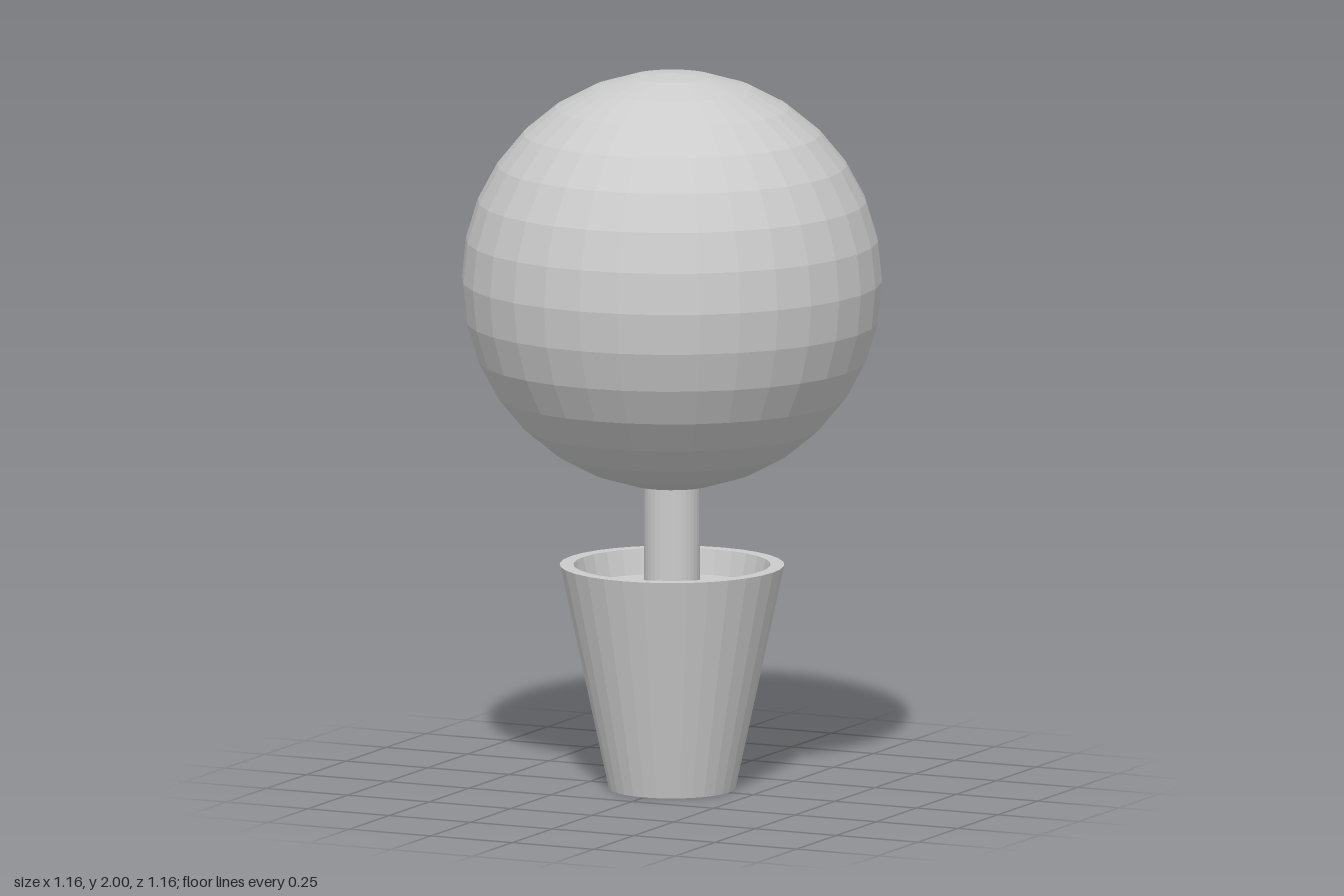
import * as THREE from 'three';

const SIDES = 32;

export function createModel() {
  const group = new THREE.Group();
  const material = new THREE.MeshStandardMaterial({ color: 0xcccccc, flatShading: true });

  const add = (name, geometry, y = 0) => {
    const mesh = new THREE.Mesh(geometry, material);
    mesh.name = name;
    mesh.position.y = y;
    group.add(mesh);
  };

  // Tapered pot: closed base, outer wall, flat rim, inner wall down to the soil
  const potProfile = [[0, 0], [0.175, 0], [0.31, 0.625], [0.272, 0.625], [0.258, 0.555]]
    .map(([r, y]) => new THREE.Vector2(r, y));
  add('pot', new THREE.LatheGeometry(potProfile, SIDES));

  // Soil disc set just below the rim
  add('soil', new THREE.CircleGeometry(0.258, SIDES).rotateX(-Math.PI / 2), 0.555);

  // Trunk from the soil into the crown
  const trunkBase = 0.555, trunkTop = 0.9;
  add('trunk',
    new THREE.CylinderGeometry(0.077, 0.077, trunkTop - trunkBase, SIDES),
    (trunkBase + trunkTop) / 2);

  // Round clipped crown
  add('crown', new THREE.SphereGeometry(0.58, SIDES, SIDES / 2), 1.42);

  return group;
}
